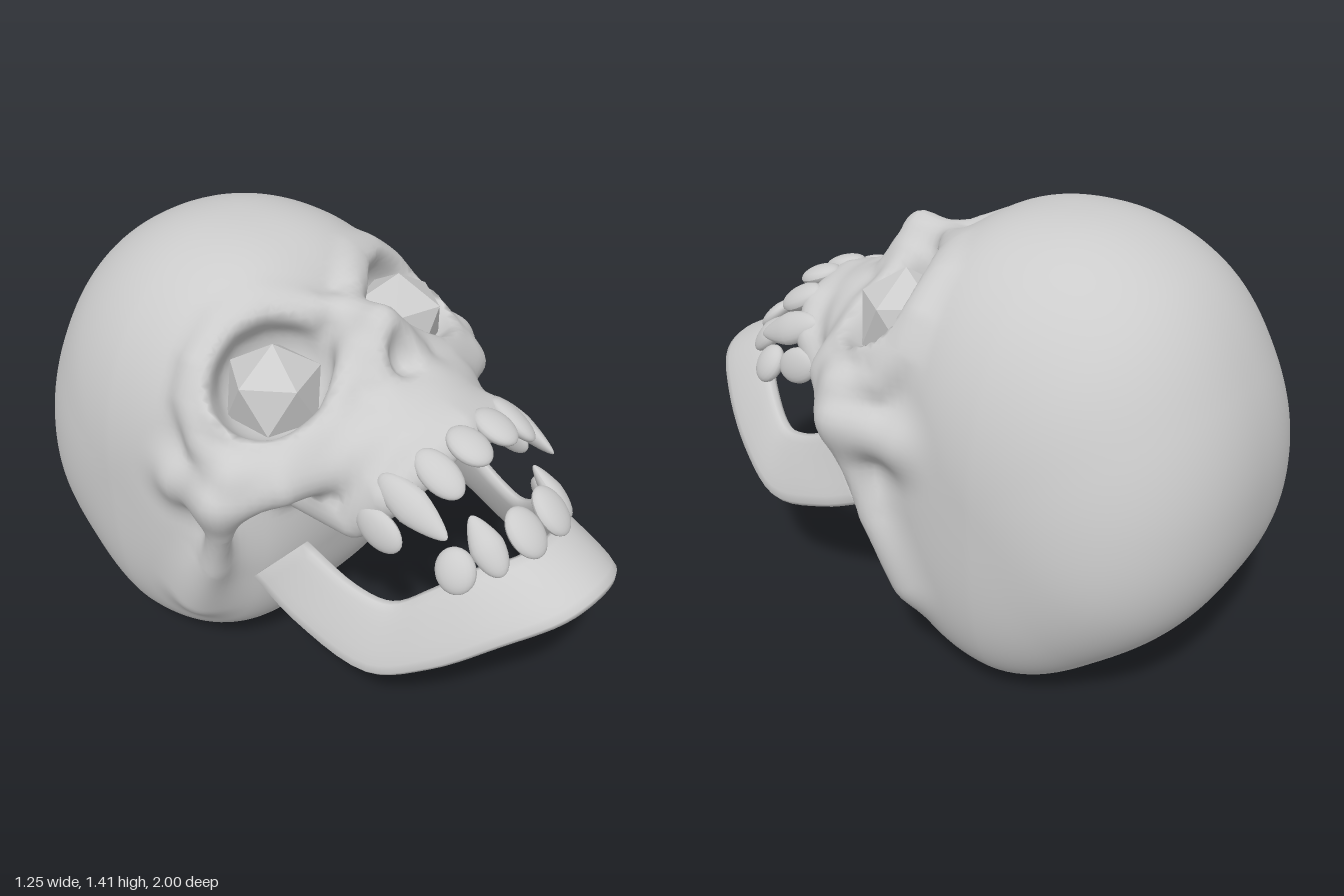
import * as THREE from 'three';

const bone = new THREE.MeshStandardMaterial({ color: 0xcccccc });
const boneThin = new THREE.MeshStandardMaterial({ color: 0xcccccc, side: THREE.DoubleSide });
const gem = new THREE.MeshStandardMaterial({ color: 0xcccccc, flatShading: true });

// ---- distance helpers ----
const blend = (a, b, k) => {
  const h = Math.max(k - Math.abs(a - b), 0) / k;
  return Math.min(a, b) - h * h * k * 0.25;
};
const carve = (a, b, k) => -blend(-a, b, k);

function ellipsoid(x, y, z, c, r) {
  const a = (x - c[0]) / r[0], b = (y - c[1]) / r[1], d = (z - c[2]) / r[2];
  const k0 = Math.hypot(a, b, d), k1 = Math.hypot(a / r[0], b / r[1], d / r[2]);
  return k1 < 1e-6 ? -Math.min(...r) : k0 * (k0 - 1) / k1;
}

// Rounded bar along a polyline
function bar(x, y, z, pts, r) {
  let best = Infinity;
  for (let i = 0; i + 1 < pts.length; i++) {
    const [ax, ay, az] = pts[i], [bx, by, bz] = pts[i + 1];
    const ux = bx - ax, uy = by - ay, uz = bz - az;
    const px = x - ax, py = y - ay, pz = z - az;
    const t = Math.min(1, Math.max(0, (px * ux + py * uy + pz * uz) / (ux * ux + uy * uy + uz * uz)));
    best = Math.min(best, Math.hypot(px - t * ux, py - t * uy, pz - t * uz));
  }
  return best - r;
}

// Braincase: side-profile radius every 30 degrees from the front, going over the top;
// squarer below and in front, rounder above and behind
const RADII = [0.49, 0.54, 0.69, 0.695, 0.67, 0.614, 0.60, 0.62, 0.635, 0.715, 0.69, 0.555];
function braincase(x, y, z) {
  const dy = y - 0.72, dz = z + 0.4;
  const t = ((Math.atan2(dy, dz) / (Math.PI / 6)) + 12) % 12;
  const i = Math.floor(t), f = t - i;
  const [a, b, c, d] = [11, 0, 1, 2].map((o) => RADII[(i + o) % 12]);
  const R = b + 0.5 * f * (c - a + f * (2 * a - 5 * b + 4 * c - d + f * (3 * (b - c) + d - a)));
  const rho = Math.hypot(dy, dz);
  const p = 2.8 + (0.35 * dz - 0.57 * dy) / (rho + 1e-6);
  const width = 0.58 - 0.08 * Math.max(0, dz);
  return (Math.pow(Math.pow(rho / R, p) + Math.pow(x / width, p), 1 / p) - 1) * 0.6;
}

const TOOTH_RIDGE = [[0, 1.0, 0.48], [0.16, 0.965, 0.47], [0.245, 0.89, 0.42], [0.275, 0.785, 0.33], [0.27, 0.775, 0.06]];
const BROW = [[0, 1.24, 0.06], [0.08, 1.26, 0.01], [0.19, 1.275, -0.1], [0.32, 1.25, -0.135], [0.42, 1.17, -0.135], [0.465, 1.08, -0.12], [0.5, 0.99, -0.05], [0.51, 0.945, 0.08]];
const LOWER_RIM = [[0.51, 0.945, 0.08], [0.41, 0.965, 0.18], [0.24, 1.04, 0.21], [0.08, 1.17, 0.17]];
const CHEEK = [[0.52, 0.83, -0.12], [0.54, 0.86, 0.06], [0.44, 0.915, 0.2], [0.25, 0.95, 0.26]];
const TEMPLE_RIDGE = [[0.55, 0.85, 0.06], [0.54, 0.72, 0.045], [0.525, 0.55, -0.01], [0.49, 0.35, -0.13]];
const NOSE_BRIDGE = [[0, 1.22, 0.04], [0, 1.255, 0.185]];
const NOSE_SIDE = [[0, 1.24, 0.185], [0.085, 1.12, 0.245], [0.08, 1.05, 0.3]];

function skullField(sx, y, z) {
  const x = Math.abs(sx);
  let d = braincase(x, y, z);
  d = blend(d, ellipsoid(x, y, z, [0.28, 1.03, 0], [0.23, 0.2, 0.2]), 0.1);
  d = blend(d, ellipsoid(x, y, z, [0, 0.95, 0.22], [0.29, 0.18, 0.29]), 0.07);
  d = blend(d, ellipsoid(x, y, z, [0, 1.11, 0.15], [0.12, 0.15, 0.14]), 0.06);
  d = blend(d, bar(x, y, z, TOOTH_RIDGE, 0.065), 0.06);
  d = blend(d, bar(x, y, z, CHEEK, 0.055), 0.12);
  d = blend(d, bar(x, y, z, TEMPLE_RIDGE, 0.025), 0.15);
  // Eye sockets and palate
  d = carve(d, ellipsoid(x, y, z, [0.3, 1.14, 0.05], [0.2, 0.175, 0.17]), 0.04);
  d = carve(d, ellipsoid(x, y, z, [0, 0.79, 0.42], [0.2, 0.19, 0.3]), 0.05);
  d = blend(d, bar(x, y, z, BROW, 0.03), 0.07);
  d = blend(d, bar(x, y, z, LOWER_RIM, 0.035), 0.07);
  d = blend(d, bar(x, y, z, NOSE_BRIDGE, 0.03), 0.07);
  d = blend(d, bar(x, y, z, NOSE_SIDE, 0.022), 0.07);
  return carve(d, ellipsoid(x, y, z, [0, 1.18, 0.275], [0.045, 0.07, 0.045]), 0.04);
}

// Smooth mesh of a distance field: one vertex per crossed cell, one quad per crossed edge
function meshField(field, min, max, h) {
  const n = min.map((m, a) => Math.ceil((max[a] - m) / h) + 1);
  const step = [1, n[0], n[0] * n[1]];
  const val = new Float32Array(n[0] * n[1] * n[2]), id = new Int32Array(val.length).fill(-1);
  const each = (lo, cut, fn) => {
    for (let k = lo; k < n[2] - cut; k++) for (let j = lo; j < n[1] - cut; j++)
      for (let i = lo; i < n[0] - cut; i++) fn([i, j, k], i + j * step[1] + k * step[2]);
  };
  each(0, 0, (c, q) => { val[q] = field(min[0] + c[0] * h, min[1] + c[1] * h, min[2] + c[2] * h); });
  const grad = (p, e = 0.004) => [0, 1, 2].map((a) => {
    const u = [...p], v = [...p];
    u[a] += e; v[a] -= e;
    return (field(...u) - field(...v)) / (2 * e);
  });
  const pos = [], nor = [], index = [];
  each(0, 1, (c, q) => {
    const sum = [0, 0, 0];
    let count = 0;
    for (let a = 0; a < 3; a++) for (let m = 0; m < 4; m++) {
      const u = (a + 1) % 3, v = (a + 2) % 3, s = m & 1, t = m >> 1;
      const q0 = q + s * step[u] + t * step[v], f0 = val[q0], f1 = val[q0 + step[a]];
      if ((f0 < 0) === (f1 < 0)) continue;
      sum[a] += f0 / (f0 - f1); sum[u] += s; sum[v] += t; count++;
    }
    if (!count) return;
    let p = sum.map((s, a) => min[a] + (c[a] + s / count) * h);
    for (let it = 0; it < 2; it++) {
      const g = grad(p), f = field(...p) / (g[0] ** 2 + g[1] ** 2 + g[2] ** 2 + 0.05);
      const move = Math.max(-h, Math.min(h, f));
      p = p.map((w, a) => w - g[a] * move);
    }
    const g = grad(p, 0.012), len = Math.hypot(...g) || 1;
    id[q] = pos.length / 3;
    pos.push(...p);
    nor.push(g[0] / len, g[1] / len, g[2] / len);
  });
  each(1, 1, (c, q) => {
    for (let a = 0; a < 3; a++) {
      if ((val[q] < 0) === (val[q + step[a]] < 0)) continue;
      const u = step[(a + 1) % 3], v = step[(a + 2) % 3];
      const r = [id[q - u - v], id[q - v], id[q], id[q - u]];
      if (val[q] >= 0) r.reverse();
      index.push(r[0], r[1], r[2], r[0], r[2], r[3]);
    }
  });
  const geo = new THREE.BufferGeometry();
  geo.setAttribute('position', new THREE.Float32BufferAttribute(pos, 3));
  geo.setAttribute('normal', new THREE.Float32BufferAttribute(nor, 3));
  geo.setIndex(index);
  return geo;
}

// Lower jaw: flat rounded section swept between a top and a bottom edge curve
function jawGeometry() {
  const top = [[0.37, 0.69, 0.23], [0.345, 0.605, 0.4], [0.315, 0.59, 0.51], [0.26, 0.665, 0.61], [0.19, 0.735, 0.69], [0.1, 0.77, 0.77], [0, 0.78, 0.79]];
  const low = [[0.44, 0.51, 0.075], [0.445, 0.435, 0.25], [0.415, 0.37, 0.5], [0.35, 0.455, 0.68], [0.25, 0.58, 0.845], [0.13, 0.66, 0.965], [0, 0.685, 0.995]];
  const curve = (half) => new THREE.CatmullRomCurve3([...half, ...half.slice(0, -1).reverse().map(([x, y, z]) => [-x, y, z])]
    .map((p) => new THREE.Vector3(...p)));
  const T = curve(top), B = curve(low), N = 60, M = 16, pos = [], index = [];
  for (let i = 0; i <= N + 2; i++) {
    const t = Math.min(1, Math.max(0, (i - 1) / N)), end = i === 0 || i === N + 2 ? 0 : 1;
    const a = T.getPoint(t), b = B.getPoint(t);
    const mid = a.clone().add(b).multiplyScalar(0.5), up = a.clone().sub(b).multiplyScalar(0.5);
    const out = T.getTangent(t).add(B.getTangent(t)).cross(up).normalize();
    for (let j = 0; j < M; j++) {
      const w = (j / M) * Math.PI * 2, s = Math.sin(w);
      const p = mid.clone().addScaledVector(up, Math.cos(w) * end)
        .addScaledVector(out, Math.sign(s) * Math.sqrt(Math.abs(s)) * 0.026 * end);
      pos.push(p.x, p.y, p.z);
      if (i > 0) {
        const q = i * M + j, r = i * M + (j + 1) % M;
        index.push(q - M, q, r, q - M, r, r - M);
      }
    }
  }
  const geo = new THREE.BufferGeometry();
  geo.setAttribute('position', new THREE.Float32BufferAttribute(pos, 3));
  geo.setIndex(index);
  geo.computeVertexNormals();
  return geo;
}

// Tooth: flattened ball, optionally drawn to a point
function tooth(name, [at, along, facing, width, length, depth, pointed], side) {
  const geo = new THREE.SphereGeometry(1, 20, 14), p = geo.attributes.position;
  for (let i = 0; i < p.count; i++) {
    const k = pointed ? 1 - 0.4 * Math.max(0, p.getY(i)) : 1;
    p.setXYZ(i, p.getX(i) * width * k, p.getY(i) * length, p.getZ(i) * depth * k);
  }
  geo.computeVertexNormals();
  const flip = ([x, y, z]) => new THREE.Vector3(x * side, y, z);
  const Y = flip(along).normalize(), X = Y.clone().cross(flip(facing)).normalize();
  const mesh = new THREE.Mesh(geo, bone);
  mesh.quaternion.setFromRotationMatrix(new THREE.Matrix4().makeBasis(X, Y, X.clone().cross(Y)));
  mesh.position.copy(flip(at));
  mesh.name = name;
  return mesh;
}

// position, long axis, outward direction, half width, half length, half depth, pointed
const UPPER = [
  [[0.062, 1.025, 0.56], [0, -0.35, 1], [0.1, 0.9, 0.4], 0.058, 0.075, 0.03, false],
  [[0.175, 0.985, 0.545], [0, -0.5, 1], [0.5, 0.8, 0.4], 0.053, 0.088, 0.03, false],
  [[0.262, 0.91, 0.525], [0, -0.4, 1], [0.85, 0.5, 0.2], 0.055, 0.13, 0.032, true],
  [[0.312, 0.82, 0.45], [0, -0.4, 1], [1, 0.15, 0.15], 0.058, 0.082, 0.026, false],
];
const LOWER = [
  [[0.063, 0.832, 0.77], [0, 0.7, -0.75], [0.1, 0.7, 0.7], 0.06, 0.08, 0.03, false],
  [[0.163, 0.812, 0.71], [-0.1, 0.75, -0.75], [0.65, 0.5, 0.55], 0.05, 0.095, 0.032, true],
  [[0.23, 0.737, 0.66], [-0.3, 0.75, -0.45], [0.85, 0.2, 0.4], 0.06, 0.068, 0.032, false],
];

export function createModel() {
  const model = new THREE.Group();
  model.name = 'skull';
  const add = (name, geo, mat) => {
    const mesh = new THREE.Mesh(geo, mat);
    mesh.name = name;
    model.add(mesh);
    return mesh;
  };
  add('cranium', meshField(skullField, [-0.67, -0.05, -1.05], [0.67, 1.47, 0.67], 0.024), bone);
  add('lowerJaw', jawGeometry(), boneThin);
  for (const side of [1, -1]) {
    const tag = side > 0 ? 'left' : 'right';
    const eyeGeo = new THREE.IcosahedronGeometry(0.154, 0).rotateX(-1.018).rotateY(0.314 * side);
    add(tag + 'Eye', eyeGeo, gem).position.set(0.28 * side, 1.083, 0.025);
    UPPER.forEach((t, i) => model.add(tooth(`${tag}UpperTooth${i + 1}`, t, side)));
    LOWER.forEach((t, i) => model.add(tooth(`${tag}LowerTooth${i + 1}`, t, side)));
  }
  return model;
}
